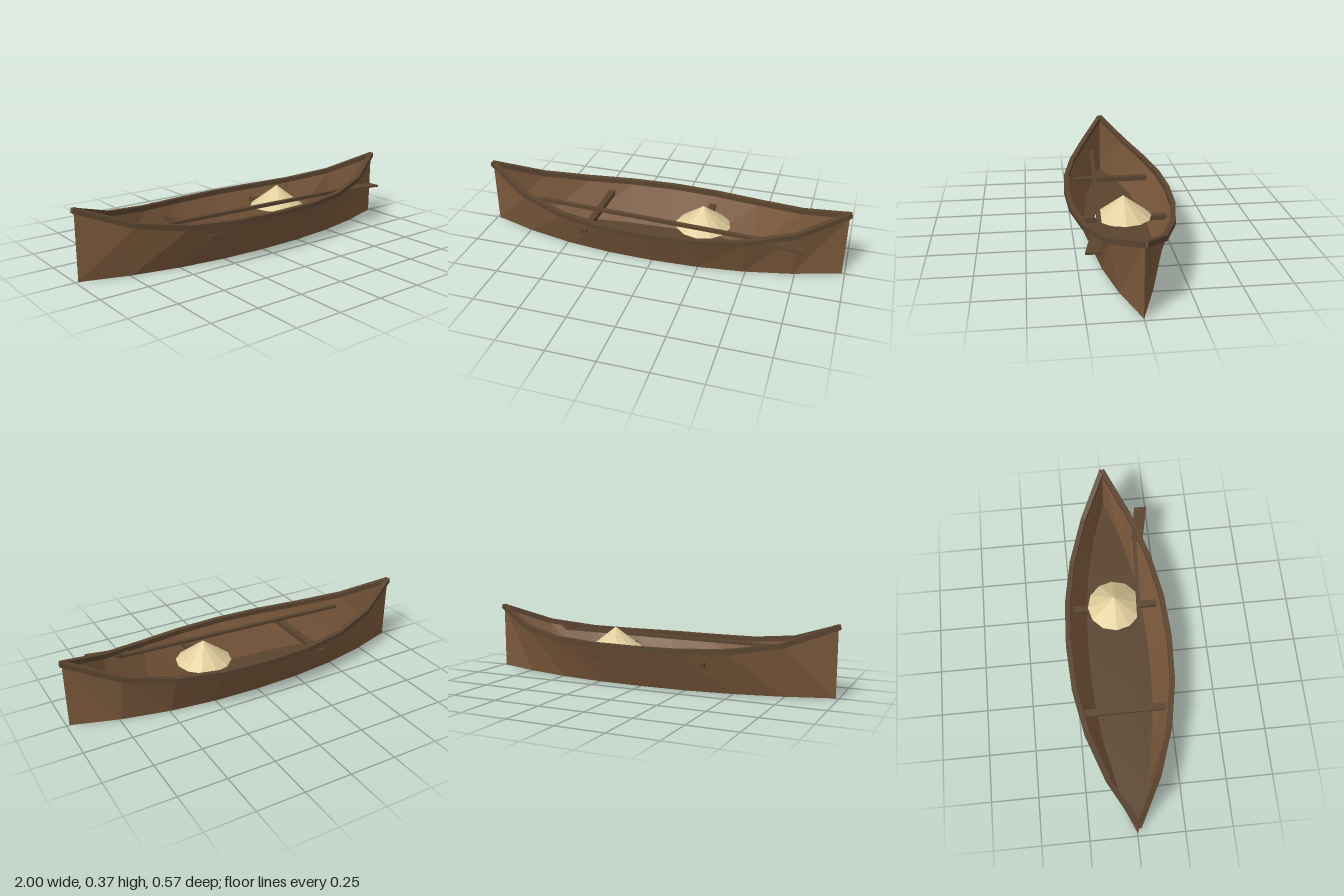
import * as THREE from 'three';

const material = (name, color) =>
  new THREE.MeshStandardMaterial({ name, color, flatShading: true, side: THREE.DoubleSide });

export function createModel() {
  const plank = material('hull plank brown', 0x7a583b);
  const darkWood = material('dark wood', 0x5a442f);
  const straw = material('straw', 0xe0cd9c);

  const boat = new THREE.Group();
  boat.name = 'rowingBoat';
  const add = (name, geometry, mat, parent = boat) => {
    const mesh = new THREE.Mesh(geometry, mat);
    mesh.name = name;
    parent.add(mesh);
    return mesh;
  };

  // Stations along the boat: plan outline is full amidships, sheer rises to both tips
  const half = 0.985, segments = 8;
  const stations = Array.from({ length: segments + 1 }, (_, i) => {
    const t = (i / segments) * 2 - 1;
    const full = 1 - Math.abs(t) ** 2.2;
    return {
      x: t * half,
      bottom: 0.17 * full,
      top: 0.265 * full,
      rail: 0.272 * full,
      sheer: 0.205 + 0.135 * Math.abs(t) ** 3.8,
    };
  });

  // Surface from triangles, flat faceted
  const surface = (points) => {
    const g = new THREE.BufferGeometry();
    g.setAttribute('position', new THREE.Float32BufferAttribute(points.flat(), 3));
    g.computeVertexNormals();
    return g;
  };

  // Flared sides
  for (const side of [1, -1]) {
    const tris = [];
    for (let i = 0; i < segments; i++) {
      const a = stations[i], b = stations[i + 1];
      const a0 = [a.x, 0, side * a.bottom], b0 = [b.x, 0, side * b.bottom];
      const a1 = [a.x, a.sheer, side * a.top], b1 = [b.x, b.sheer, side * b.top];
      if (side > 0) tris.push(a0, b0, b1, a0, b1, a1);
      else tris.push(a0, b1, b0, a0, a1, b1);
    }
    add(side > 0 ? 'frontHullSide' : 'backHullSide', surface(tris), plank);
  }

  // Flat lens-shaped bottom
  const floor = [];
  for (let i = 0; i < segments; i++) {
    const a = stations[i], b = stations[i + 1];
    const p = [a.x, 0, a.bottom], q = [b.x, 0, b.bottom];
    const r = [b.x, 0, -b.bottom], s = [a.x, 0, -a.bottom];
    floor.push(p, q, r, p, r, s);
  }
  add('floor', surface(floor), darkWood);

  // Gunwale rails, one straight timber between each pair of stations
  for (const side of [1, -1]) {
    const rail = new THREE.Group();
    rail.name = side > 0 ? 'frontGunwale' : 'backGunwale';
    boat.add(rail);
    for (let i = 0; i < segments; i++) {
      const [p, q] = [stations[i], stations[i + 1]].map(
        (s) => new THREE.Vector3(s.x, s.sheer + 0.0125, side * s.rail));
      const timber = add('gunwaleTimber',
        new THREE.BoxGeometry(0.027, 0.026, p.distanceTo(q) + 0.008), darkWood, rail);
      timber.position.copy(p).lerp(q, 0.5);
      timber.lookAt(q);
    }
  }

  // Thwarts, their ends poking through the hull
  for (const x of [-0.36, 0.235]) {
    add('thwart', new THREE.BoxGeometry(0.036, 0.026, 0.46), darkWood).position.set(x, 0.152, 0);
  }

  // Conical straw hat resting on a thwart
  add('strawHat', new THREE.ConeGeometry(0.147, 0.113, 12), straw).position.set(0.235, 0.222, -0.003);

  // Paddle laid along the boat, blade over the side
  const paddle = new THREE.Group();
  paddle.name = 'paddle';
  boat.add(paddle);
  const start = new THREE.Vector3(-0.68, 0.222, 0.082), end = new THREE.Vector3(0.65, 0.222, 0.15);
  const shaft = add('paddleShaft',
    new THREE.BoxGeometry(0.022, 0.016, start.distanceTo(end)), darkWood, paddle);
  shaft.position.copy(start).lerp(end, 0.5);
  shaft.lookAt(end);
  const outline = new THREE.Shape(
    [[0.6, 0.128], [0.8, 0.167], [0.8, 0.236], [0.58, 0.19]].map(([x, z]) => new THREE.Vector2(x, z)));
  const blade = add('paddleBlade',
    new THREE.ExtrudeGeometry(outline, { depth: 0.01, bevelEnabled: false }), darkWood, paddle);
  blade.rotation.x = Math.PI / 2;
  blade.position.y = 0.237;

  return boat;
}
